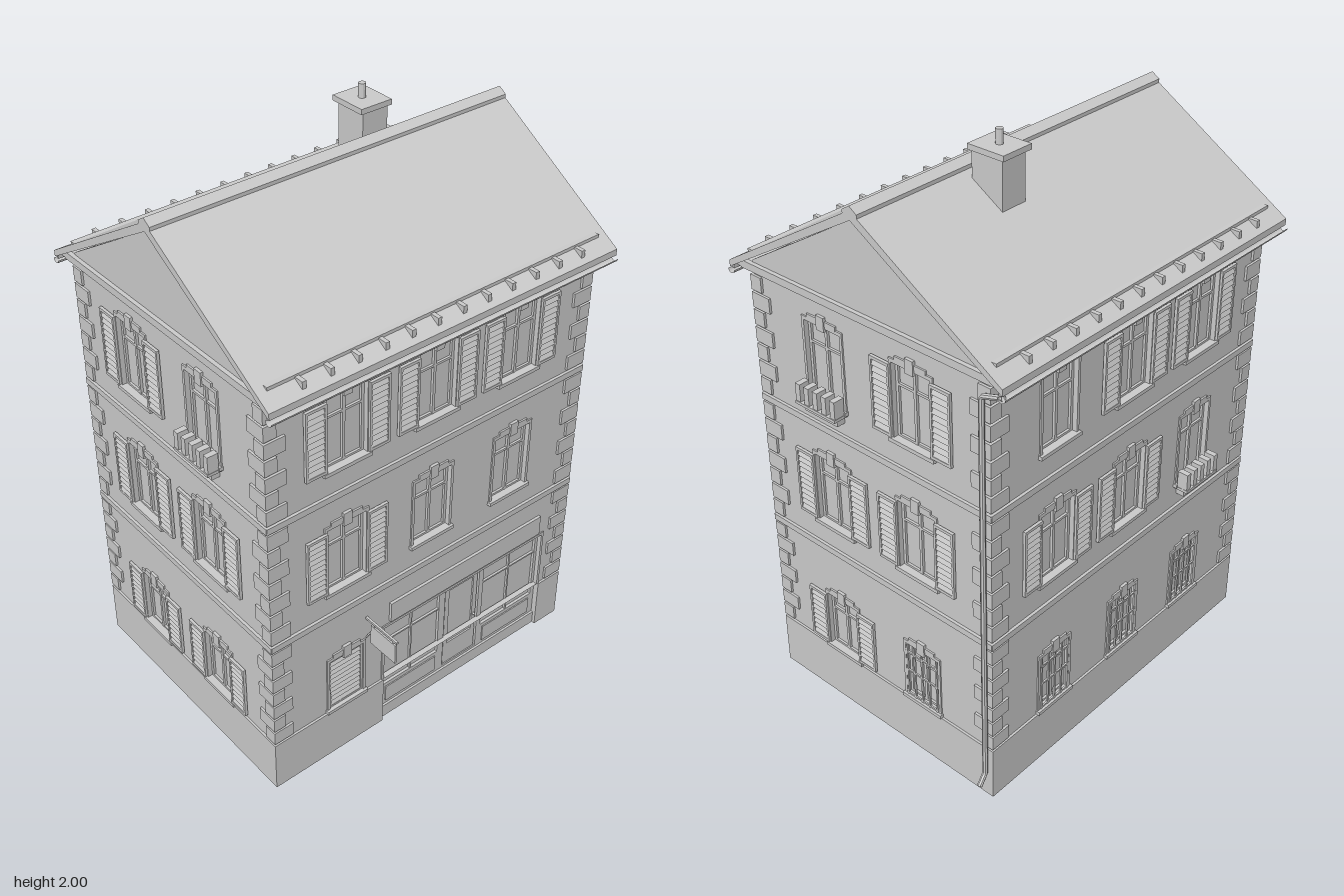
import * as THREE from 'three';

const mat = new THREE.MeshStandardMaterial({ color: 0xcccccc, flatShading: true, side: THREE.DoubleSide });
const HX = 0.632, HZ = 0.47, ZC = -0.035, PROUD = 0.008;

function add(parent, name, geo, x = 0, y = 0, z = 0) {
  const m = new THREE.Mesh(geo, mat);
  m.name = name;
  m.position.set(x, y, z);
  parent.add(m);
  return m;
}

// box given by its limits on each axis
function block(parent, name, x0, x1, y0, y1, z0, z1) {
  return add(parent, name, new THREE.BoxGeometry(x1 - x0, y1 - y0, z1 - z0),
    (x0 + x1) / 2, (y0 + y1) / 2, (z0 + z1) / 2);
}

const poly = (pts) => new THREE.Shape(pts.map(([x, y]) => new THREE.Vector2(x, y)));
const rect = (x0, x1, y0, y1) => [[x0, y0], [x1, y0], [x1, y1], [x0, y1]];

// flat panel with rectangular holes, front face at z
function panel(parent, name, outline, holes, depth, z) {
  const s = poly(outline);
  for (const h of holes) s.holes.push(poly(rect(...h)));
  return add(parent, name, new THREE.ExtrudeGeometry(s, { depth, bevelEnabled: false }), 0, 0, z - depth);
}

function louvres(parent, x0, x1, y0, y1, z) {
  const g = new THREE.Group();
  g.name = 'shutter';
  parent.add(g);
  panel(g, 'shutterFrame', rect(x0, x1, y0, y1), [[x0 + 0.008, x1 - 0.008, y0 + 0.01, y1 - 0.01]], 0.01, z);
  const n = Math.round((y1 - y0) / 0.022);
  for (let i = 0; i < n; i++) {
    const y = y0 + 0.01 + (i + 0.5) * (y1 - y0 - 0.02) / n;
    const slat = add(g, 'slat', new THREE.BoxGeometry(x1 - x0 - 0.016, 0.021, 0.003), (x0 + x1) / 2, y, z - 0.006);
    slat.rotation.x = -0.4;
  }
}

// shelf with a row of planters in front of a window
function flowerShelf(parent, x, y) {
  const g = new THREE.Group();
  g.name = 'flowerShelf';
  parent.add(g);
  block(g, 'bracket', x - 0.07, x + 0.07, y - 0.045, y - 0.015, 0, 0.03);
  block(g, 'shelf', x - 0.085, x + 0.085, y - 0.015, y - 0.005, 0, 0.053);
  for (let i = -2; i <= 2; i++)
    block(g, 'planter', x + i * 0.037 - 0.01, x + i * 0.037 + 0.01, y - 0.005, y + 0.055, 0.012, 0.05);
}

// kind: plain, open (open shutters), closed (closed shutter), bars, shelf
function windowUnit(parent, { x, y0, y1, w, kind }) {
  const g = new THREE.Group();
  g.name = kind + 'Window';
  parent.add(g);
  const a = x - w / 2, b = x + w / 2;
  block(g, 'glass', a, b, y0, y1, -0.024, -0.02);
  panel(g, 'casement', rect(a, b, y0, y1), [[a + 0.01, b - 0.01, y0 + 0.01, y1 - 0.01]], 0.008, -0.012);
  block(g, 'mullion', x - 0.005, x + 0.005, y0, y1, -0.02, -0.011);
  block(g, 'transom', a, b, y0 + (y1 - y0) * 0.7 - 0.004, y0 + (y1 - y0) * 0.7 + 0.004, -0.02, -0.012);
  panel(g, 'surround', rect(a - 0.01, b + 0.01, y0, y1 + 0.012), [[a, b, y0 + 0.001, y1]], 0.006, 0.005);
  block(g, 'sill', a - 0.014, b + 0.014, y0 - 0.01, y0 + 0.003, -0.02, 0.014);
  block(g, 'lintel', x - w * 0.4, x + w * 0.4, y1 + 0.01, y1 + 0.025, 0, 0.006);
  block(g, 'keystone', x - 0.016, x + 0.016, y1 - 0.01, y1 + 0.038, 0, 0.01);
  if (kind === 'open') {
    louvres(g, a - 0.08, a - 0.003, y0 + 0.005, y1 - 0.005, 0.013);
    louvres(g, b + 0.003, b + 0.08, y0 + 0.005, y1 - 0.005, 0.013);
  }
  if (kind === 'closed') louvres(g, a, b, y0, y1, 0);
  if (kind === 'shelf') flowerShelf(g, x, y0);
  if (kind === 'bars') {
    for (let i = 0; i < 5; i++) {
      const u = a + 0.006 + i * (w - 0.012) / 4;
      block(g, 'bar', u - 0.003, u + 0.003, y0, y1, 0.001, 0.007);
    }
    for (const t of [0.04, 0.5, 0.85]) {
      const v = y0 + (y1 - y0) * t;
      block(g, 'crossBar', a, b, v - 0.003, v + 0.003, 0.001, 0.007);
    }
  }
}

// one side of the house: wall, plinth, string courses, quoins and windows
function facade(house, name, hw, angle, pos, outline, rows, gap, parity) {
  const g = new THREE.Group();
  g.name = name;
  g.rotation.y = angle;
  g.position.copy(pos);
  house.add(g);
  const levels = [[0.205, 0.42], [0.72, 0.97], [1.19, 1.445]];
  const wins = rows.flatMap((row, f) => row.map(([x, kind]) =>
    ({ x, kind, y0: levels[f][0], y1: levels[f][1], w: f ? 0.15 : 0.138 })));
  panel(g, 'wall', outline, wins.map((k) => [k.x - k.w / 2, k.x + k.w / 2, k.y0, k.y1]), 0.02, 0);
  wins.forEach((k) => windowUnit(g, k));
  const e = hw + PROUD;
  for (const [a, b] of gap ? [[-e, gap[0]], [gap[1], e]] : [[-e, e]])
    block(g, 'plinth', a, b, 0, 0.195, -0.012, PROUD);
  for (const y of [0.62, 1.09]) block(g, 'stringCourse', -e, e, y - 0.011, y + 0.011, -0.01, PROUD + 0.002);
  for (const [y0, y1] of [[0.2, 0.605], [0.635, 1.075], [1.105, 1.52]])
    for (let i = 0; i < 7; i++) {
      const h = (y1 - y0) / 7, w = (i + parity) % 2 ? 0.045 : 0.075, y = y0 + i * h;
      for (const s of [-1, 1])
        block(g, 'quoin', Math.min(s * e, s * (e - w)), Math.max(s * e, s * (e - w)), y + 0.004, y + h - 0.004, -0.005, PROUD);
    }
  return g;
}

function shopFront(g) {
  const s = new THREE.Group();
  s.name = 'shopFront';
  g.add(s);
  const holes = [[-0.175, 0.068, 0.145, 0.415], [0.095, 0.252, 0.06, 0.41], [0.272, 0.518, 0.145, 0.415]];
  panel(s, 'shopFrame', rect(-0.19, 0.535, 0, 0.43), holes, 0.014, -0.012);
  block(s, 'shopGlass', -0.19, 0.535, 0.05, 0.43, -0.03, -0.022);
  block(s, 'threshold', -0.19, 0.535, 0, 0.05, -0.02, -0.004);
  panel(s, 'outerFrame', rect(-0.195, 0.54, 0.195, 0.437), [[-0.185, 0.53, 0.1951, 0.427]], 0.02, 0.004);
  panel(s, 'door', rect(0.1, 0.247, 0.055, 0.41), [[0.118, 0.229, 0.15, 0.395]], 0.006, -0.016);
  add(s, 'doorKnob', new THREE.SphereGeometry(0.006, 8, 6), 0.236, 0.22, -0.012);
  for (const [a, b] of [[-0.175, 0.068], [0.272, 0.518]]) {
    block(s, 'displayTransom', a, b, 0.34, 0.346, -0.024, -0.014);
    block(s, 'displayMullion', (a + b) / 2 - 0.003, (a + b) / 2 + 0.003, 0.145, 0.415, -0.024, -0.014);
    block(s, 'stallPanel', a + 0.01, b - 0.01, 0.065, 0.13, -0.013, -0.008);
  }
  block(s, 'fasciaBoard', -0.165, 0.51, 0.447, 0.525, 0, 0.01);
}

function hangingSign(g) {
  const s = new THREE.Group();
  s.name = 'hangingSign';
  g.add(s);
  block(s, 'signArm', -0.265, -0.257, 0.516, 0.524, 0, 0.148);
  block(s, 'signBoard', -0.265, -0.257, 0.43, 0.507, 0.026, 0.143);
  for (const z of [0.04, 0.13]) block(s, 'hanger', -0.263, -0.259, 0.505, 0.518, z - 0.002, z + 0.002);
  const brace = block(s, 'brace', -0.264, -0.258, 0.434, 0.474, 0.01, 0.015);
  brace.rotation.x = 0.5;
}

function roof(house) {
  const g = new THREE.Group();
  g.name = 'roof';
  g.position.z = ZC;
  house.add(g);
  // gabled slab, profile swept along x
  const D = 0.54, top = 1.882, k = 0.614, t = 0.03;
  const slab = new THREE.ExtrudeGeometry(poly([[-D, top - k * D], [-D, top - k * D - 0.022], [0, top - t], [D, top - k * D - 0.022],
    [D, top - k * D], [0, top]]), { depth: 1.326, bevelEnabled: false });
  slab.rotateY(-Math.PI / 2).translate(0.663, 0, 0);
  add(g, 'roofSlab', slab);
  const cap = new THREE.ExtrudeGeometry(poly([[-0.028, 1.865], [0, 1.878], [0.028, 1.865], [0.028, 1.877], [0, 1.895], [-0.028, 1.877]]),
    { depth: 1.326, bevelEnabled: false });
  cap.rotateY(-Math.PI / 2).translate(0.663, 0, 0);
  add(g, 'ridgeCap', cap);
  for (const s of [-1, 1]) {
    const side = new THREE.Group();
    side.name = 'eave';
    side.rotation.y = s > 0 ? 0 : Math.PI;
    g.add(side);
    block(side, 'soffit', -0.645, 0.645, 1.532, 1.546, 0.45, 0.53);
    block(side, 'fascia', -0.66, 0.66, 1.525, 1.548, 0.525, 0.533);
    const gutter = new THREE.CylinderGeometry(0.013, 0.013, 1.326, 10, 1, true, 0, Math.PI);
    gutter.rotateZ(-Math.PI / 2).rotateX(0);
    add(side, 'gutter', gutter, 0, 1.52, 0.536);
    // snow guard
    block(side, 'snowRail', -0.63, 0.63, 1.577, 1.592, 0.468, 0.49);
    for (let i = 0; i < 12; i++) {
      const x = -0.531 + i * 0.0965;
      block(side, 'snowBracket', x - 0.007, x + 0.007, 1.556, 1.586, 0.488, 0.522);
    }
  }
}

export function createModel() {
  const house = new THREE.Group();
  house.name = 'townHouse';
  const frontWall = [[-HX, 0], [-0.19, 0], [-0.19, 0.43], [0.535, 0.43], [0.535, 0], [HX, 0], [HX, 1.56], [-HX, 1.56]];
  const gable = [[-HZ, 0], [HZ, 0], [HZ, 1.562], [0, 1.852], [-HZ, 1.562]];
  const L = -0.345, M = 0, R = 0.34, A = -0.18, B = 0.178;
  const at = (x, z) => new THREE.Vector3(x, 0, z + ZC);

  const front = facade(house, 'frontFacade', HX, 0, at(0, HZ), frontWall, [
    [[L, 'closed']], [[L, 'open'], [M, 'plain'], [R, 'plain']], [[L, 'open'], [M, 'open'], [R, 'open']]], [-0.19, 0.535], 0);
  shopFront(front);
  hangingSign(front);
  facade(house, 'backFacade', HX, Math.PI, at(0, -HZ), rect(-HX, HX, 0, 1.56), [
    [[L, 'bars'], [M, 'bars'], [R, 'bars']], [[L, 'open'], [M, 'open'], [R, 'shelf']], [[L, 'plain'], [M, 'open'], [R, 'open']]], null, 0);
  facade(house, 'leftFacade', HZ, Math.PI / 2, at(HX, 0), gable, [
    [[A, 'open'], [B, 'bars']], [[A, 'open'], [B, 'open']], [[A, 'shelf'], [B, 'open']]], null, 1);
  facade(house, 'rightFacade', HZ, -Math.PI / 2, at(-HX, 0), gable, [
    [[A, 'open'], [B, 'open']], [[A, 'open'], [B, 'open']], [[A, 'open'], [B, 'shelf']]], null, 1);
  // cornice on the gable ends
  for (const s of [-1, 1]) block(house, 'gableCornice', s * 0.638 - 0.008, s * 0.638 + 0.008, 1.53, 1.555, ZC - 0.51, ZC + 0.51);

  roof(house);

  // chimney
  block(house, 'chimneyShaft', 0.148, 0.244, 1.7, 1.938, -0.203, -0.088);
  block(house, 'chimneyCap', 0.136, 0.254, 1.936, 1.954, -0.215, -0.08);
  add(house, 'chimneyPipe', new THREE.CylinderGeometry(0.012, 0.012, 0.06, 12), 0.195, 1.97, -0.148);

  // downpipe with a kicked-out foot
  const path = new THREE.CurvePath();
  const pts = [[0.65, 1.515, -0.568], [0.65, 1.49, -0.49], [0.65, 0.1, -0.49], [0.677, 0.062, -0.49]].map((p) => new THREE.Vector3(...p));
  for (let i = 0; i < 3; i++) path.add(new THREE.LineCurve3(pts[i], pts[i + 1]));
  add(house, 'downpipe', new THREE.TubeGeometry(path, 120, 0.009, 8));
  return house;
}
